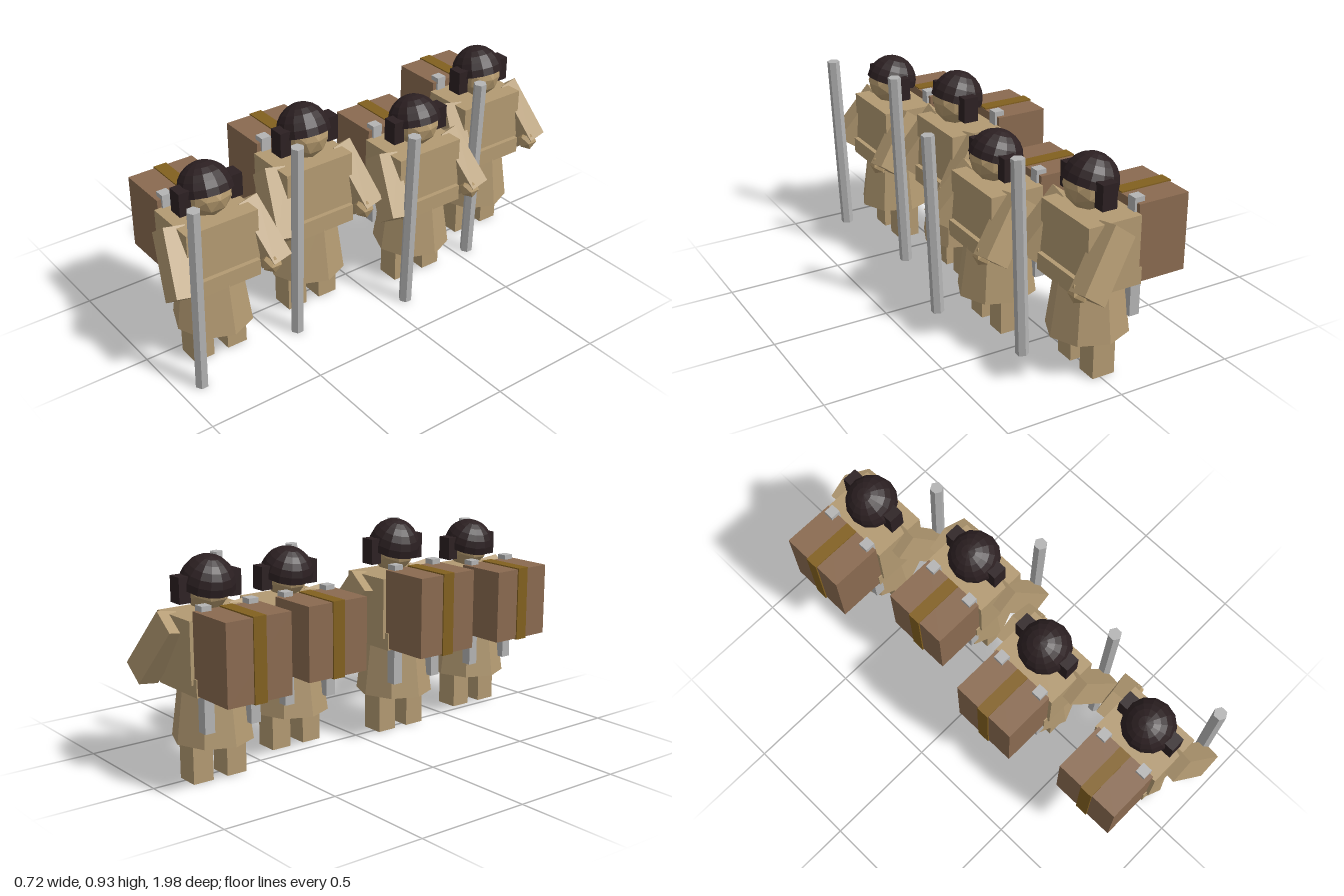
import * as THREE from 'three';

const flat = (name, color, extra = {}) =>
  Object.assign(new THREE.MeshStandardMaterial({ color, flatShading: true, ...extra }), { name });

export function createModel() {
  const cloth = flat('cloth', 0xb39a72);
  const skin = flat('skin', 0xb59a6e);
  const hairMat = flat('hair', 0x2c2022, { side: THREE.DoubleSide });
  const leather = flat('leather', 0x8a6a50);
  const strapMat = flat('strap', 0x82601f);
  const metal = flat('metal', 0xb4b4b4);

  function add(parent, name, geometry, material, x, y, z) {
    const mesh = new THREE.Mesh(geometry, material);
    mesh.name = name;
    mesh.position.set(x, y, z);
    parent.add(mesh);
    return mesh;
  }

  // Box given by its minimum and maximum corners
  function box(parent, name, material, [x0, y0, z0], [x1, y1, z1]) {
    return add(parent, name, new THREE.BoxGeometry(x1 - x0, y1 - y0, z1 - z0), material,
      (x0 + x1) / 2, (y0 + y1) / 2, (z0 + z1) / 2);
  }

  // Square-ended sleeve running from shoulder to wrist
  function arm(parent, name, from, to) {
    const dir = to.clone().sub(from);
    const length = dir.length();
    const yAxis = dir.normalize();
    const xAxis = new THREE.Vector3().crossVectors(yAxis, new THREE.Vector3(0, 0, 1)).normalize();
    const zAxis = new THREE.Vector3().crossVectors(xAxis, yAxis);
    const mid = from.clone().add(to).multiplyScalar(0.5);
    const mesh = add(parent, name, new THREE.BoxGeometry(0.112, length, 0.09), cloth, mid.x, mid.y, mid.z);
    mesh.quaternion.setFromRotationMatrix(new THREE.Matrix4().makeBasis(xAxis, yAxis, zAxis));
  }

  // One marching figure facing +x
  function figure() {
    const g = new THREE.Group();

    // Body
    box(g, 'torso', cloth, [-0.1175, 0.41, -0.16], [0.1175, 0.65, 0.16]);
    box(g, 'belt', cloth, [-0.1375, 0.365, -0.15], [0.1375, 0.434, 0.15]);
    const skirt = add(g, 'skirt', new THREE.CylinderGeometry(0.13, 0.17, 0.277, 8), cloth, 0, 0.2935, 0);
    skirt.scale.z = 0.95;

    // Head, with a hair cap tilted backwards
    add(g, 'head', new THREE.IcosahedronGeometry(0.1, 1), skin, 0.012, 0.745, 0);
    const hair = add(g, 'hair',
      new THREE.SphereGeometry(0.111, 14, 6, 0, Math.PI * 2, 0, Math.PI * 0.52), hairMat, 0.006, 0.749, 0);
    hair.rotation.z = 0.3;

    for (const s of [1, -1]) {
      const side = s > 0 ? 'right' : 'left';
      box(g, side + 'Leg', cloth, [-0.05, 0, s * 0.0775 - 0.045], [0.05, 0.17, s * 0.0775 + 0.045]);
      box(g, side + 'HairBlock', hairMat, [-0.0175, 0.69, s * 0.115 - 0.025], [0.0475, 0.79, s * 0.115 + 0.025]);
      box(g, side + 'Harness', metal, [-0.1525, 0.225, s * 0.105 - 0.022], [-0.1075, 0.705, s * 0.105 + 0.022]);
      arm(g, side + 'Arm', new THREE.Vector3(-0.005, 0.627, s * 0.165), new THREE.Vector3(0.155, 0.41, s * 0.215));
    }
    add(g, 'leftFist', new THREE.IcosahedronGeometry(0.043, 0), skin, 0.168, 0.425, -0.182);

    // Backpack and its centre strap
    box(g, 'backpack', leather, [-0.3425, 0.372, -0.145], [-0.1175, 0.685, 0.145]);
    box(g, 'backpackStrap', strapMat, [-0.348, 0.367, -0.028], [-0.119, 0.69, 0.028]);

    // Leaning pole
    const pole = add(g, 'pole', new THREE.CylinderGeometry(0.028, 0.028, 0.818, 6), metal, 0.2, 0.41, 0.175);
    pole.rotation.z = -0.037;
    return g;
  }

  // Line of four: x, z and height factor
  const model = new THREE.Group();
  model.name = 'marchingLine';
  [
    [0.0825, 0.73, 1], [0.0175, 0.2275, 1.076], [0.1175, -0.268, 0.988], [-0.015, -0.735, 1.04],
  ].forEach(([x, z, height], i) => {
    const f = figure();
    f.name = 'figure' + (i + 1);
    f.position.set(x, 0, z);
    f.scale.y = height;
    model.add(f);
  });
  return model;
}
